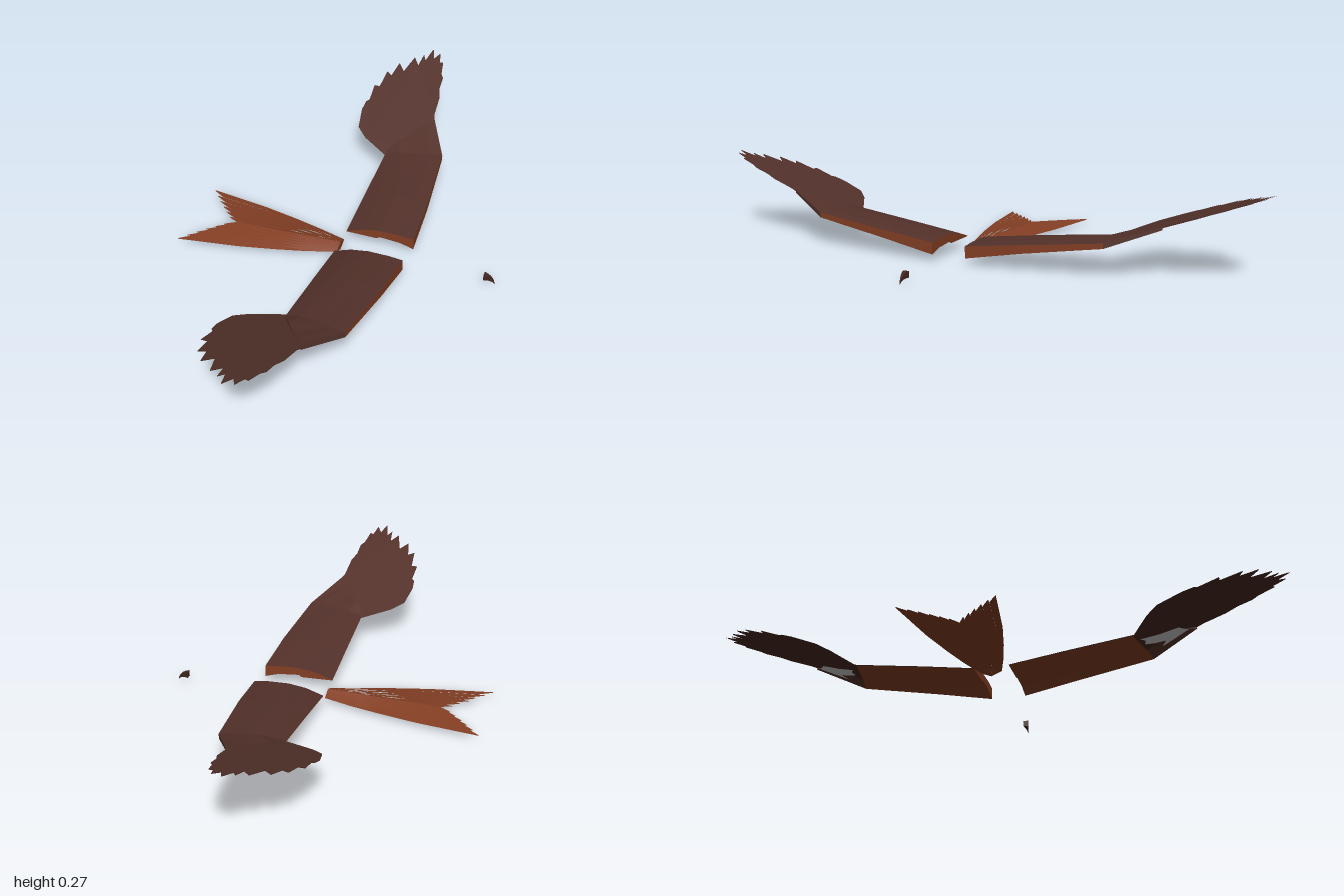
import * as THREE from 'three';

const mat = (name, color) => new THREE.MeshStandardMaterial({ name, color, side: THREE.DoubleSide });

// Faceted surface through rows of [x, y, z] points
function loft(name, rows, material) {
  const pos = [];
  for (let i = 0; i + 1 < rows.length; i++) {
    for (let j = 0; j + 1 < rows[i].length; j++) {
      const a = rows[i][j], b = rows[i][j + 1], c = rows[i + 1][j], d = rows[i + 1][j + 1];
      pos.push(...a, ...c, ...b, ...b, ...c, ...d);
    }
  }
  const g = new THREE.BufferGeometry();
  g.setAttribute('position', new THREE.Float32BufferAttribute(pos, 3));
  g.computeVertexNormals();
  const m = new THREE.Mesh(g, material);
  m.name = name;
  return m;
}

// Flat outline in x, z laid on the sloping plane of the outer wing
function handSheet(name, outline, side, drop, material) {
  const g = new THREE.ShapeGeometry(new THREE.Shape(outline.map(([x, z]) => new THREE.Vector2(x, z))));
  const p = g.attributes.position;
  for (let i = 0; i < p.count; i++) {
    const x = p.getX(i), z = p.getY(i);
    p.setXYZ(i, x, 0.1 + (z - 0.5) * 0.345 - drop, z * side);
  }
  g.computeVertexNormals();
  const m = new THREE.Mesh(g, material);
  m.name = name;
  return m;
}

export function createModel() {
  const brown = mat('dark brown', 0x53312a);
  const rust = mat('rust', 0x843f24);
  const under = mat('blackish brown', 0x44261f);
  const covert = mat('covert brown', 0x56352c);
  const grey = mat('pale grey', 0xc8c8c8);
  const root = new THREE.Group();
  root.name = 'bird';

  // Arm of the wing: z and x at trailing and leading edge, then heights
  const stations = [
    { zt: 0.06, zl: 0.06, xt: 0, xl: 0.242, yt: 0.038, ym: 0.068, yl: 0.062, yb: 0.022 },
    { zt: 0.25, zl: 0.25, xt: 0, xl: 0.233, yt: 0.066, ym: 0.09, yl: 0.084, yb: 0.056 },
    { zt: 0.48, zl: 0.52, xt: 0, xl: 0.206, yt: 0.097, ym: 0.113, yl: 0.112, yb: 0.095 },
    { zt: 0.50, zl: 0.68, xt: 0, xl: 0.125, yt: 0.102, ym: 0.134, yl: 0.164, yb: 0.154 },
  ];
  const lerp = THREE.MathUtils.lerp;
  const at = (s, t, y, side) => [lerp(s.xt, s.xl, t), y, lerp(s.zt, s.zl, t) * side];
  const topRow = (s, side) => [
    at(s, 0, s.yt, side), at(s, 0.25, lerp(s.yt, s.ym, 0.7), side),
    at(s, 0.5, s.ym, side), at(s, 0.8, lerp(s.ym, s.yl, 0.5) + 0.002, side), at(s, 1, s.yl, side)];
  const bottomRow = (s, side) => {
    const line = t => lerp(s.yt, s.yb, t), lift = (s.yl - s.yb) / 0.04;
    return [
      at(s, 0, s.yt - 0.002, side), at(s, 0.46, line(0.46) + 0.004 * lift, side),
      at(s, 0.5, line(0.5) + 0.012 * lift, side), at(s, 0.8, line(0.8) + 0.011 * lift, side),
      at(s, 1, s.yb, side)];
  };

  // Outline of the fanned outer wing with finger feathers
  const hand = [
    [0, 0.48], [-0.05, 0.51], [-0.10, 0.54], [-0.14, 0.58], [-0.155, 0.66], [-0.152, 0.70],
    [-0.142, 0.71], [-0.146, 0.78], [-0.125, 0.78], [-0.12, 0.855], [-0.098, 0.84], [-0.086, 0.905],
    [-0.058, 0.87], [-0.037, 0.945], [-0.012, 0.91], [-0.006, 0.965], [0.008, 0.94], [0.022, 1.0],
    [0.038, 0.955], [0.055, 0.985], [0.066, 0.94], [0.078, 0.945], [0.088, 0.89], [0.1, 0.87],
    [0.102, 0.82], [0.115, 0.78], [0.12, 0.7], [0.13, 0.67], [0.206, 0.52]];
  const patch = [
    [0.018, 0.50], [0.04, 0.56], [0.05, 0.625], [0.075, 0.64], [0.094, 0.655], [0.115, 0.61],
    [0.138, 0.56], [0.105, 0.575], [0.09, 0.54], [0.07, 0.51], [0.045, 0.515]];

  for (const side of [1, -1]) {
    const wing = new THREE.Group();
    wing.name = side > 0 ? 'nearWing' : 'farWing';
    const arm = stations.slice(0, 3), wrist = stations.slice(2);
    const tops = stations.map(s => topRow(s, side));
    const front = s => [at(s, 1, s.yl, side), at(s, 1, s.yb, side)];
    wing.add(
      loft('wingTop', tops, brown),
      loft('wingUnderside', arm.map(s => bottomRow(s, side)), rust),
      loft('leadingEdge', arm.map(front), rust),
      loft('wristUnderside', wrist.map(s => bottomRow(s, side)), covert),
      loft('wristEdge', wrist.map(front), covert),
      loft('wristEnd', [tops[3], bottomRow(stations[3], side)], covert),
      loft('wingRoot', [tops[0], bottomRow(stations[0], side)], rust),
      handSheet('outerWingTop', hand, side, 0, brown),
      handSheet('outerWingUnderside', hand, side, 0.002, under),
      handSheet('palePatch', patch, side, 0.013, grey));
    root.add(wing);
  }

  // Forked tail: thin feathers side by side, thick at the root
  const tail = new THREE.Group();
  tail.name = 'tail';
  const xs = [0, 0.1, 0.2, 0.33, 1];
  const halfWidth = [0.036, 0.067, 0.093, 0.122, 0.155];
  const thick = [0.015, 0.010, 0.005, 0.002, 0.0005];
  const feathers = 6;
  for (const side of [1, -1]) {
    for (let i = 0; i < feathers; i++) {
      const u0 = i / feathers, u1 = (i + 1) / feathers;
      const ends = [0.385 + 0.135 * u0, 0.405 + 0.14 * u1];
      const edge = (k, e, sign) => {
        const u = e ? u1 : u0;
        const x = k === 4 ? ends[e] : xs[k];
        const w = k === 4 ? lerp(0.122, 0.155, (x - 0.33) / 0.215) : halfWidth[k];
        const step = k === 0 ? 0 : (e ? -0.0015 : 0.0015);
        return [-x, 0.0175 + sign * (thick[k] * (1 - u) + 0.001) + step, side * u * w];
      };
      for (const sign of [1, -1]) {
        tail.add(loft('tailFeather', xs.map((_, k) => [edge(k, 0, sign), edge(k, 1, sign)]), rust));
      }
      tail.add(loft('tailRoot', [[edge(0, 0, 1), edge(0, 1, 1)], [edge(0, 0, -1), edge(0, 1, -1)]], rust));
    }
  }
  root.add(tail);

  // Hooked beak, narrowing to its point
  const hook = new THREE.Shape();
  hook.moveTo(0.507, 0.034);
  hook.quadraticCurveTo(0.54, 0.032, 0.545, 0);
  hook.quadraticCurveTo(0.533, 0.016, 0.507, 0.013);
  hook.closePath();
  const beakGeo = new THREE.ExtrudeGeometry(hook, { depth: 0.02, bevelEnabled: false, curveSegments: 5 });
  const bp = beakGeo.attributes.position;
  for (let i = 0; i < bp.count; i++) {
    bp.setZ(i, (bp.getZ(i) - 0.01) * Math.max(0.1, (0.548 - bp.getX(i)) / 0.041));
  }
  beakGeo.computeVertexNormals();
  const beak = new THREE.Mesh(beakGeo, under);
  beak.name = 'beak';
  root.add(beak);
  return root;
}
